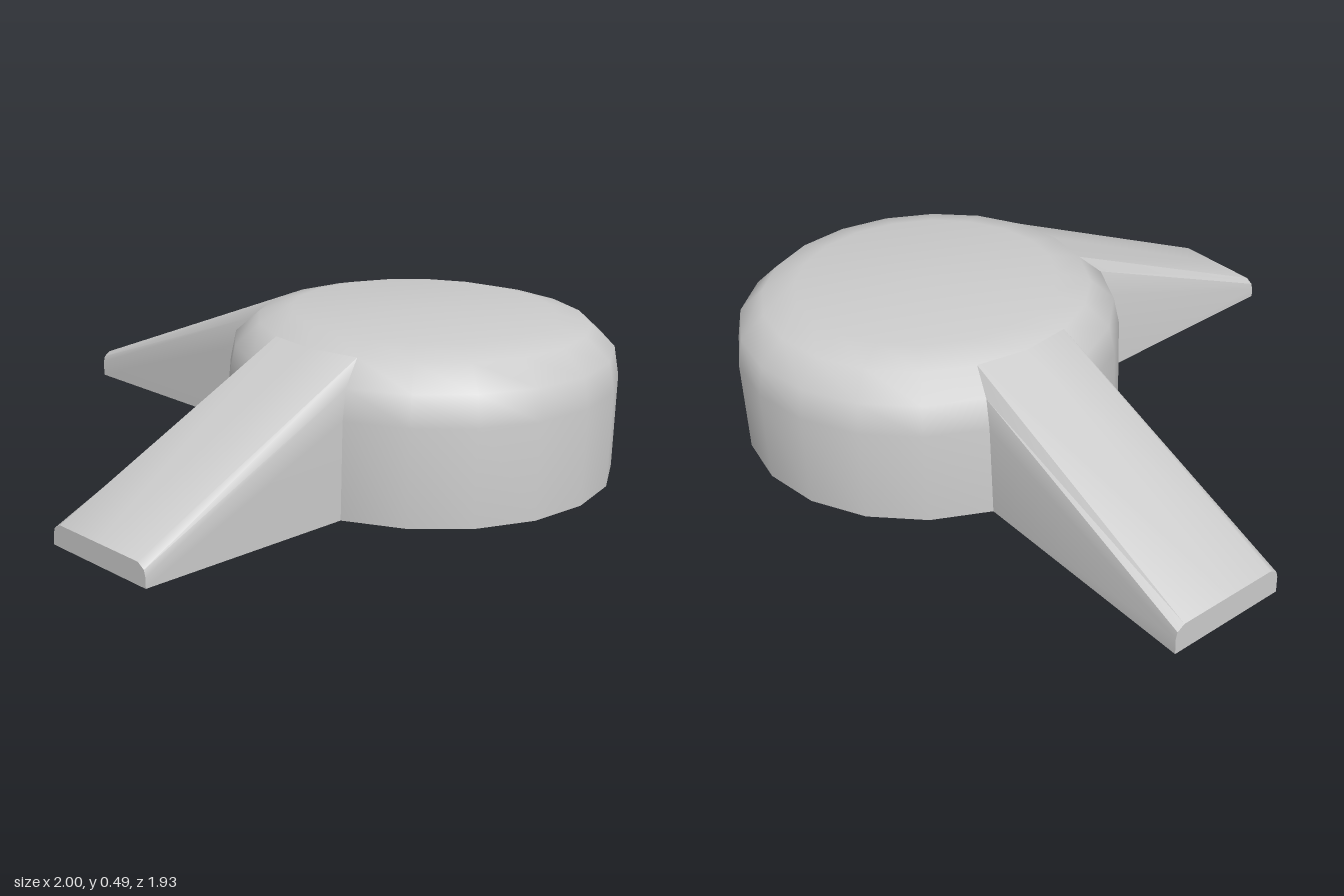
import * as THREE from 'three';
import { toCreasedNormals } from 'three/addons/utils/BufferGeometryUtils.js';

const material = new THREE.MeshStandardMaterial({ color: 0xcccccc });

// Hub rim profile: [radius, height]
const rim = [[0.615, 0], [0.615, 0.3], [0.597, 0.393], [0.52, 0.463], [0.415, 0.49]];
const SIDES = 20;
const STEP = (Math.PI * 2) / SIDES;

function createHub() {
  const profile = [[0, 0], ...rim, [0, 0.49]].map(([r, y]) => new THREE.Vector2(r, y));
  const geometry = toCreasedNormals(new THREE.LatheGeometry(profile, SIDES), 0.8);
  const hub = new THREE.Mesh(geometry, material);
  hub.name = 'hub';
  return hub;
}

// Tapered arm running along +z, grown from two neighbouring facets of the hub
function createArm(name, reach, tipBottom) {
  const tipHeights = [tipBottom, 0.065, 0.085, 0.1];
  const root = [];
  const tip = [];
  const add = (level, turn) => {
    const [r, y] = rim[level];
    const x = r * Math.sin(STEP * turn);
    root.push([x, y, r * Math.cos(STEP * turn)]);
    tip.push([x, tipHeights[level], reach]);
  };
  // Section outline: up one side, across the crest, down the other, along the base
  for (let i = 0; i < 4; i++) add(i, 1);
  add(3, 0);
  for (let i = 3; i >= 0; i--) add(i, -1);
  add(0, 0);

  const count = root.length;
  const index = [];
  for (let i = 0; i < count; i++) {
    const j = (i + 1) % count;
    index.push(i, j, count + i, j, count + j, count + i);
  }
  // End face
  for (let i = 1; i < count - 1; i++) index.push(count, count + i, count + i + 1);

  const geometry = new THREE.BufferGeometry();
  geometry.setAttribute('position', new THREE.Float32BufferAttribute([...root, ...tip].flat(), 3));
  geometry.setIndex(index);
  const arm = new THREE.Mesh(toCreasedNormals(geometry, 0.55), material);
  arm.name = name;
  return arm;
}

export function createModel() {
  const model = new THREE.Group();
  model.name = 'twoArmedKnob';

  const frontArm = createArm('frontArm', 1.315, 0.035);
  const sideArm = createArm('sideArm', 1.385, 0.012);
  sideArm.rotation.y = -Math.PI / 2;

  for (const part of [createHub(), frontArm, sideArm]) {
    part.position.set(0.385, 0, -0.35);
    model.add(part);
  }
  return model;
}
